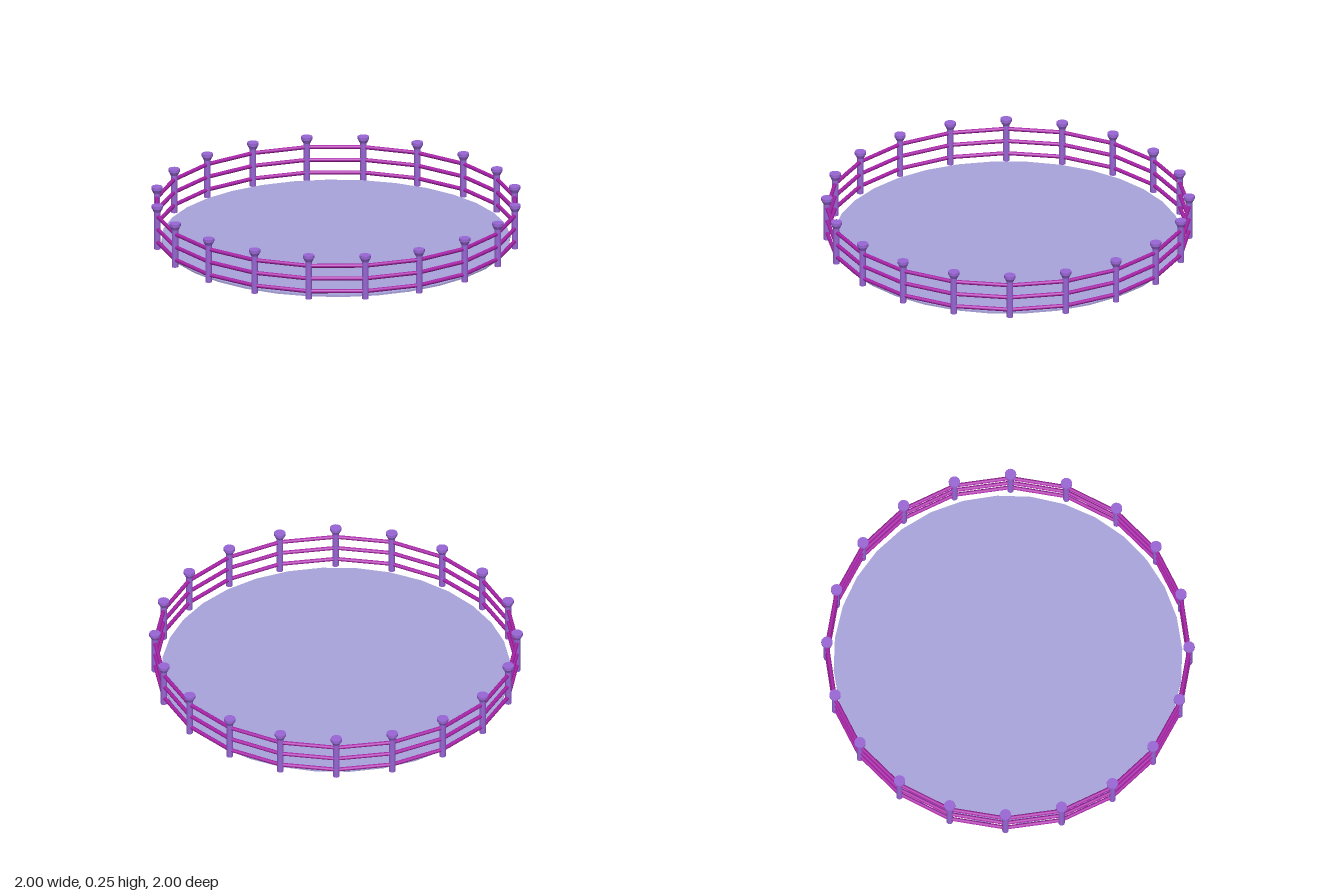
import * as THREE from 'three';

export function createModel() {
  const model = new THREE.Group();
  const postMat = new THREE.MeshStandardMaterial({ color: 0x9966d6 });
  const railMat = new THREE.MeshStandardMaterial({ color: 0xaa22aa });
  const floorMat = new THREE.MeshStandardMaterial({ color: 0xaaa5dd });

  const count = 20, radius = 0.98, step = (Math.PI * 2) / count;
  const add = (parent, name, geometry, material, x = 0, y = 0, z = 0) => {
    const mesh = new THREE.Mesh(geometry, material);
    mesh.name = name;
    mesh.position.set(x, y, z);
    parent.add(mesh);
    return mesh;
  };

  // Thin round floor
  add(model, 'floor', new THREE.CylinderGeometry(0.945, 0.945, 0.01, 32), floorMat, 0, 0.005, 0);

  // Shared fence geometry: post, flared cap with a rim, and straight rail
  const postGeo = new THREE.CylinderGeometry(0.0175, 0.0175, 0.22, 16);
  const flareGeo = new THREE.CylinderGeometry(0.03, 0.02, 0.02, 16);
  const rimGeo = new THREE.CylinderGeometry(0.031, 0.031, 0.016, 16);
  const railLength = 2 * radius * Math.sin(step / 2);
  const railGeo = new THREE.CylinderGeometry(0.011, 0.011, railLength, 10);
  railGeo.rotateZ(Math.PI / 2);

  const fence = new THREE.Group();
  fence.name = 'fence';
  model.add(fence);
  for (let i = 0; i < count; i++) {
    // Post with its cap
    const a = (i + 0.5) * step;
    const post = new THREE.Group();
    post.name = 'fencePost';
    post.position.set(radius * Math.sin(a), 0, radius * Math.cos(a));
    post.rotation.y = a;
    add(post, 'postShaft', postGeo, postMat, 0, 0.11, 0);
    add(post, 'capFlare', flareGeo, postMat, 0, 0.224, 0);
    add(post, 'capRim', rimGeo, postMat, 0, 0.242, 0);
    fence.add(post);

    // Three rails spanning to the neighbouring post
    const b = i * step, mid = radius * Math.cos(step / 2);
    for (const y of [0.042, 0.115, 0.188]) {
      const rail = add(fence, 'rail', railGeo, railMat, mid * Math.sin(b), y, mid * Math.cos(b));
      rail.rotation.y = b;
    }
  }
  return model;
}
